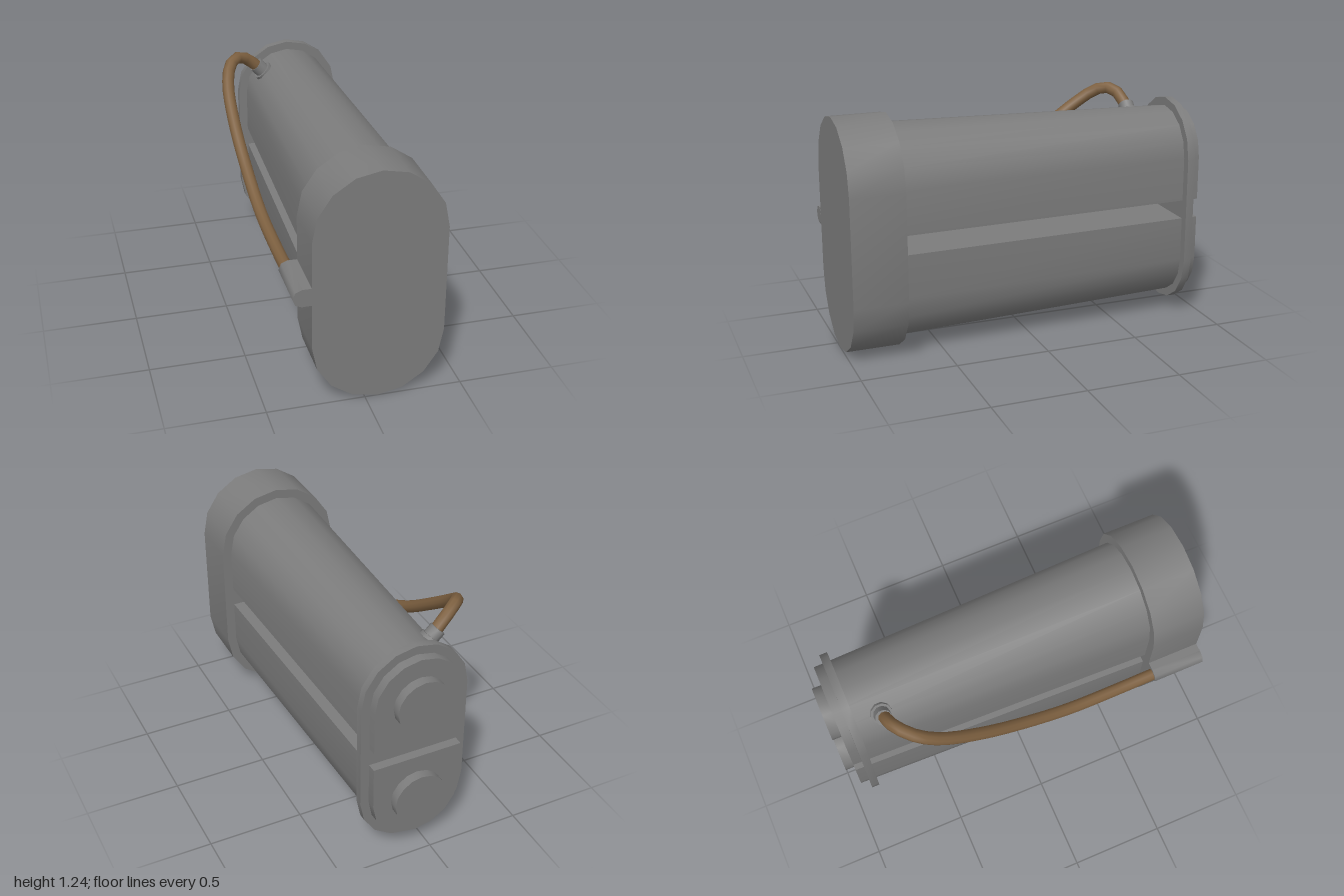
import * as THREE from 'three';
import { toCreasedNormals } from 'three/addons/utils/BufferGeometryUtils.js';

const CX = 0.064, MID = 0.622, ARC = 0.285; // axis x, middle height, arc centre distance from the middle

const metal = new THREE.MeshStandardMaterial({ color: 0x7c7c7c });
metal.name = 'grey metal';
const leather = new THREE.MeshStandardMaterial({ color: 0x7d6040 });
leather.name = 'brown hose';

function mesh(name, geometry, material = metal) {
  const m = new THREE.Mesh(geometry, material);
  m.name = name;
  return m;
}

// Upright capsule outline, extruded from z0 to z1
function capsule(name, r, z0, z1) {
  const s = new THREE.Shape();
  s.absarc(0, ARC, r, 0, Math.PI, false);
  s.absarc(0, -ARC, r, Math.PI, Math.PI * 2, false);
  s.closePath();
  const g = new THREE.ExtrudeGeometry(s, { depth: z1 - z0, bevelEnabled: false, curveSegments: 4 });
  g.translate(CX, MID, z0);
  return mesh(name, toCreasedNormals(g, 0.6));
}

// D-shaped tank, flat towards the middle, narrowing to the back
function tank(name, side) {
  const rFront = 0.285, rBack = 0.24, z0 = -0.95, z1 = 0.73;
  const s = new THREE.Shape();
  s.moveTo(-1, 0);
  s.lineTo(1, 0);
  s.lineTo(1, 1);
  s.absarc(0, 1, 1, 0, Math.PI, false);
  s.closePath();
  const g = new THREE.ExtrudeGeometry(s, { depth: 1, bevelEnabled: false, curveSegments: 4 });
  const p = g.attributes.position, gap = 0.051;
  for (let i = 0; i < p.count; i++) {
    const t = p.getZ(i), r = rBack + (rFront - rBack) * t, y = p.getY(i);
    const h = y <= 1 ? gap + (ARC - gap) * y : ARC + (y - 1) * r;
    p.setXYZ(i, p.getX(i) * r, h, z0 + (z1 - z0) * t);
  }
  if (side < 0) g.rotateZ(Math.PI);
  g.translate(CX, MID, 0);
  return mesh(name, toCreasedNormals(g, 0.6));
}

// Round part lying along z
function discZ(name, r, x, y, z0, z1, sides) {
  const g = new THREE.CylinderGeometry(r, r, z1 - z0, sides);
  g.rotateX(Math.PI / 2);
  g.translate(x, y, (z0 + z1) / 2);
  return mesh(name, toCreasedNormals(g, 0.9));
}

export function createModel() {
  const model = new THREE.Group();
  model.name = 'twinTank';

  model.add(capsule('frontCap', 0.335, 0.715, 1));
  model.add(capsule('rearFlange', 0.287, -0.902, -0.86));

  for (const [label, side] of [['upper', 1], ['lower', -1]]) {
    model.add(tank(label + 'Tank', side));
    model.add(discZ(label + 'EndKnob', 0.142, CX, MID + side * ARC, -1, -0.94, 16));
  }

  // Hose socket on the side of the cap
  model.add(discZ('hoseSocket', 0.048, -0.317, MID, 0.715, 1, 8));
  const web = new THREE.BoxGeometry(0.06, 0.094, 0.284);
  web.translate(-0.287, MID, 0.857);
  model.add(mesh('socketWeb', web));

  // Hose nipple on the shoulder of the upper tank
  const nipple = new THREE.Group();
  nipple.name = 'hoseNipple';
  for (const [name, r, h, y] of [['nippleBase', 0.056, 0.04, 0], ['nippleCollar', 0.043, 0.09, 0.025]]) {
    const g = new THREE.CylinderGeometry(r, r, h, 10);
    g.translate(0, y, 0);
    nipple.add(mesh(name, toCreasedNormals(g, 0.9)));
  }
  nipple.position.set(-0.1, 1.075, -0.725);
  nipple.rotation.z = Math.PI / 4;
  model.add(nipple);

  // Hose
  const path = new THREE.CatmullRomCurve3([
    [-0.322, 0.622, 0.76], [-0.328, 0.632, 0.5], [-0.34, 0.68, 0.22], [-0.353, 0.8, -0.05],
    [-0.364, 0.96, -0.3], [-0.355, 1.1, -0.5], [-0.325, 1.17, -0.6], [-0.28, 1.198, -0.66],
    [-0.21, 1.175, -0.705], [-0.12, 1.095, -0.723],
  ].map(q => new THREE.Vector3(...q)));
  model.add(mesh('hose', new THREE.TubeGeometry(path, 28, 0.033, 10), leather));

  return model;
}
